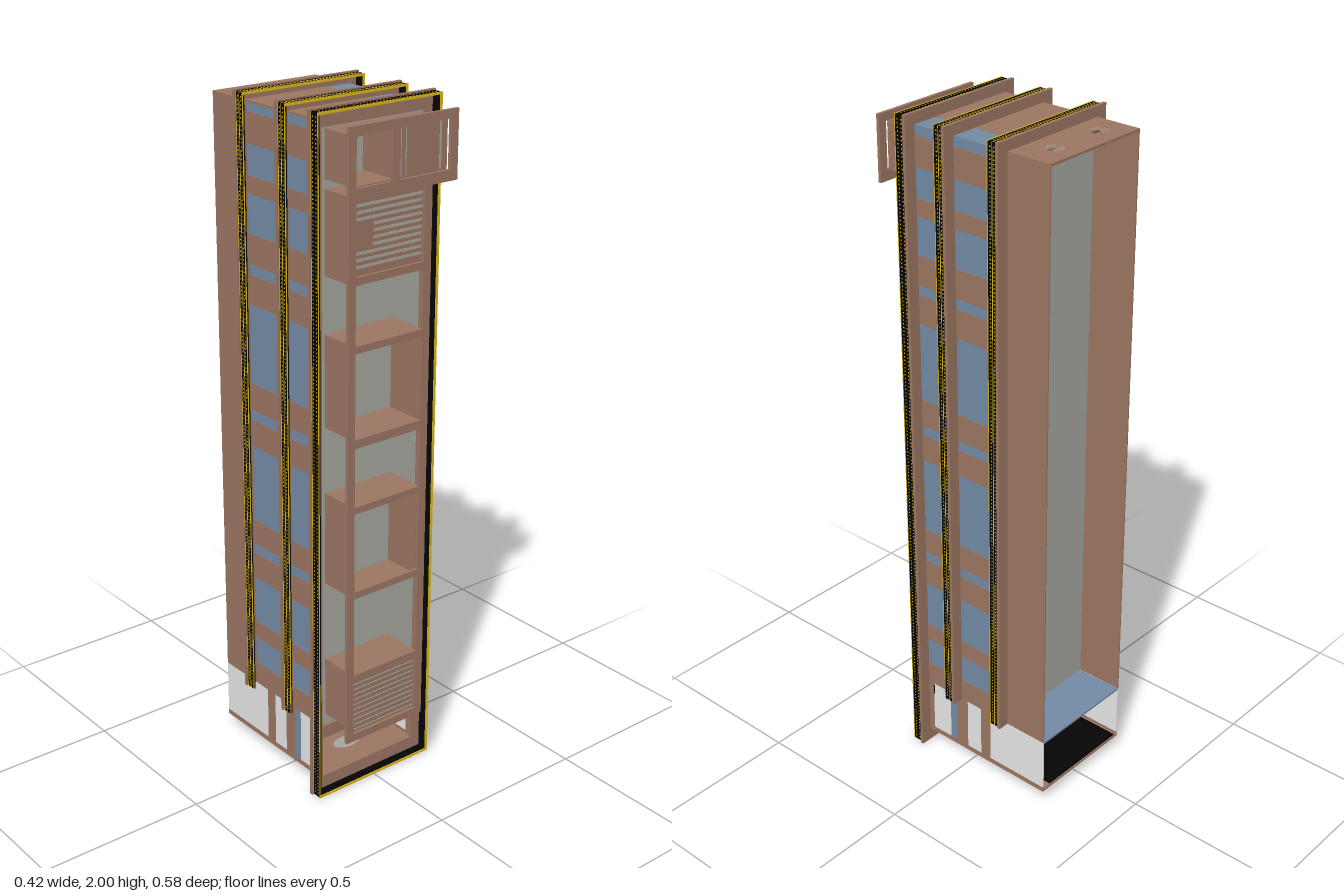
import * as THREE from 'three';
import { mergeGeometries } from 'three/addons/utils/BufferGeometryUtils.js';

const mat = (name, color) => {
  const m = new THREE.MeshStandardMaterial({ color });
  m.name = name;
  return m;
};

export function createModel() {
  const brown = mat('brown cladding', 0x9c7662);
  const glass = mat('grey glass', 0xa6a8a0);
  const blue = mat('blue panel', 0x738aa4);
  const pale = mat('pale grey wall', 0xe6e6e6);
  const black = mat('black strip', 0x050505);
  const yellow = mat('yellow lights', 0xe0b818);
  const root = new THREE.Group();

  // Box given by its limits on each axis
  const boxGeo = (x0, x1, y0, y1, z0, z1) =>
    new THREE.BoxGeometry(x1 - x0, y1 - y0, z1 - z0)
      .translate((x0 + x1) / 2, (y0 + y1) / 2, (z0 + z1) / 2);
  const add = (name, geo, m, parent = root) => {
    const mesh = new THREE.Mesh(geo, m);
    mesh.name = name;
    parent.add(mesh);
    return mesh;
  };
  const box = (name, m, ...b) => add(name, boxGeo(...b), m);
  const rect = (T, x0, x1, y0, y1) => {
    const s = new T();
    s.moveTo(x0, y0); s.lineTo(x1, y0); s.lineTo(x1, y1); s.lineTo(x0, y1); s.closePath();
    return s;
  };
  // Flat panel with rectangular openings
  const panel = (shape, holes, z0, z1) => {
    holes.forEach(h => shape.holes.push(rect(THREE.Path, ...h)));
    return new THREE.ExtrudeGeometry(shape, { depth: z1 - z0, bevelEnabled: false }).translate(0, 0, z0);
  };

  // Main block with brown bands on both sides and brown roof
  box('mainBlock', blue, -0.174, 0.174, 0.215, 1.969, -0.14, 0.162);
  const bands = [[0.22, 0.29], [0.375, 0.43], [0.575, 0.655], [0.685, 0.76], [0.99, 1.07],
    [1.1, 1.18], [1.41, 1.495], [1.525, 1.61], [1.72, 1.77], [1.855, 1.94]];
  for (const s of [-1, 1]) {
    const g = bands.map(([a, b]) => boxGeo(s * 0.173 - 0.002, s * 0.173 + 0.002, a, b, -0.14, 0.162));
    add('sideBands', mergeGeometries(g), brown);
  }
  box('roof', brown, -0.175, 0.095, 1.964, 1.97, -0.14, 0.162);
  box('frontGlass', glass, -0.171, 0.171, 0.217, 1.95, 0.159, 0.164);
  box('rearGlass', glass, -0.17, 0.17, 0.22, 1.962, -0.146, -0.139);

  // Open-backed rear shell
  for (const s of [-1, 1]) box('rearSide', brown, s * 0.173 - 0.002, s * 0.173 + 0.002, 0.22, 1.97, -0.29, -0.14);
  box('rearRoof', brown, -0.175, 0.175, 1.963, 1.97, -0.29, -0.14);
  box('rearDeck', blue, -0.174, 0.174, 0.213, 0.219, -0.289, -0.14);

  // Roof vents: round grids of flat specks
  for (const x of [-0.095, 0.08]) {
    const specks = [], core = [];
    for (let i = -5; i <= 5; i++) for (let j = -5; j <= 5; j++) {
      if (Math.hypot(i, j) > 5.1) continue;
      const px = x + i * 0.0048, pz = -0.224 + j * 0.0048;
      const dark = i > 0 && Math.abs(j) < 2;
      (dark ? core : specks).push(boxGeo(px - 0.001, px + 0.001, 1.97, 1.9704, pz - 0.001, pz + 0.001));
    }
    add('ventSpecks', mergeGeometries(specks), glass);
    add('ventCore', mergeGeometries(core), black);
  }

  // Ground storey: floor, side walls, floor mats and discs
  box('floor', brown, -0.175, 0.175, 0.04, 0.047, -0.29, 0.165);
  const walls = [[-0.29, -0.085, pale], [-0.085, -0.048, brown], [-0.048, 0.005, pale], [0.005, 0.048, brown],
    [0.048, 0.074, blue], [0.074, 0.143, pale], [0.143, 0.165, brown]];
  for (const s of [-1, 1]) {
    const x0 = s * 0.173 - 0.002, x1 = s * 0.173 + 0.002;
    for (const [a, b, m] of walls) box('groundWall', m, x0, x1, 0.056, 0.22, a, b);
    box('groundSill', brown, x0, x1, 0.045, 0.056, -0.29, 0.165);
  }
  box('floorMat', black, -0.165, 0.14, 0.047, 0.048, -0.287, 0);
  // Rounded mat outline on the underside
  const mat2 = new THREE.Shape();
  const mx = 0.135, m0 = 0.005, m1 = 0.235, r0 = 0.025;
  mat2.absarc(mx - r0, m1 - r0, r0, 0, Math.PI / 2);
  mat2.absarc(r0 - mx, m1 - r0, r0, Math.PI / 2, Math.PI);
  mat2.absarc(r0 - mx, m0 + r0, r0, Math.PI, Math.PI * 1.5);
  mat2.absarc(mx - r0, m0 + r0, r0, Math.PI * 1.5, Math.PI * 2);
  add('undersideMat', new THREE.ExtrudeGeometry(mat2, { depth: 0.001, bevelEnabled: false, curveSegments: 5 })
    .rotateX(-Math.PI / 2).translate(0, 0.0392, 0), black);
  for (const y of [0.0395, 0.0475])
    add('floorDisc', new THREE.CylinderGeometry(0.045, 0.045, 0.001, 24).scale(1, 1, 0.6).translate(0, y, 0.07), glass);
  box('entranceStrip', black, -0.1755, 0.1755, 0.182, 0.215, 0.139, 0.144);

  // Three projecting frames, each with a lit strip round its outer edge
  const frame = (z, y0) => {
    const full = y0 === 0;
    const g = new THREE.Group();
    g.name = full ? 'frontFrame' : 'middleFrame';
    root.add(g);
    const holes = full ? [[-0.17, 0.166, 0.048, 0.175], [-0.171, 0.171, 0.215, 1.95]] : [];
    let shape;
    if (full) shape = rect(THREE.Shape, -0.21, 0.21, 0, 2);
    else {
      shape = new THREE.Shape();
      [[-0.21, y0], [-0.172, y0], [-0.172, 1.965], [0.172, 1.965], [0.172, y0], [0.21, y0], [0.21, 2], [-0.21, 2]]
        .forEach(([x, y], i) => (i ? shape.lineTo(x, y) : shape.moveTo(x, y)));
    }
    add('frameSlab', panel(shape, holes, z, z + 0.01), brown, g);
    const yb = full ? 0.003 : y0;
    const side = (s, o, t, z0, z1) => boxGeo(s * (0.205 + o - t / 2) - t / 2, s * (0.205 + o - t / 2) + t / 2, yb, 1.996, z0, z1);
    const caps = (o, t, z0, z1) => {
      const parts = [boxGeo(-0.205 - o, 0.205 + o, 1.996 + o - t, 1.996 + o, z0, z1)];
      if (full) parts.push(boxGeo(-0.205 - o, 0.205 + o, yb - o, yb - o + t, z0, z1));
      return parts;
    };
    const strip = [side(-1, 0, 0.006, z + 0.01, z + 0.039), side(1, 0, 0.006, z + 0.01, z + 0.039)];
    add('lightStrip', mergeGeometries([...strip, ...caps(0, 0.006, z + 0.01, z + 0.039)]), black, g);
    // Yellow front rim on the top, right and bottom edges, thin lines on the sides
    const rim = [side(1, 0.001, 0.008, z + 0.039, z + 0.041), ...caps(0.001, 0.007, z + 0.038, z + 0.041)];
    rim.push(side(-1, 0.001, 0.002, z + 0.038, z + 0.041));
    for (const s of [-1, 1]) rim.push(side(s, 0.0006, 0.002, z + 0.01, z + 0.0125));
    if (!full) {
      for (const s of [-1, 1]) rim.push(side(s, 0.0006, 0.002, z + 0.023, z + 0.0255));
      rim.push(...caps(0.0006, 0.002, z + 0.023, z + 0.0255));
    }
    add('stripRim', mergeGeometries(rim), yellow, g);
    // Rows of small lamps
    const lamps = [], r = 0.0018;
    for (const dz of [0.018, 0.031]) {
      for (let x = -0.195; x < 0.2; x += 0.011) {
        lamps.push(boxGeo(x - r, x + r, 1.995, 1.9965, z + dz - r, z + dz + r));
        if (full) lamps.push(boxGeo(x - r, x + r, 0.0025, 0.004, z + dz - r, z + dz + r));
      }
      for (let y = y0 + 0.015; y < 1.99; y += 0.011) for (const s of [-1, 1])
        lamps.push(boxGeo(s * 0.205 - 0.0006, s * 0.205 + 0.0006, y - r, y + r, z + dz - r, z + dz + r));
    }
    add('lamps', mergeGeometries(lamps), yellow, g);
  };
  frame(0.162, 0);
  frame(0.027, 0.22);
  frame(-0.153, 0.22);

  // Front lattice screen
  const outline = new THREE.Shape();
  [[-0.177, 0.217], [0.1, 0.217], [0.1, 1.785], [0.185, 1.785], [0.185, 1.972], [-0.177, 1.972]]
    .forEach(([x, y], i) => (i ? outline.lineTo(x, y) : outline.moveTo(x, y)));
  const openings = [[0.24, 0.405], [0.43, 0.67], [0.69, 0.925], [0.945, 1.115], [1.14, 1.38], [1.4, 1.565], [1.585, 1.78]]
    .map(([a, b]) => [-0.153, 0.075, a, b]);
  openings.push([-0.153, -0.035, 1.815, 1.948], [-0.01, 0.16, 1.815, 1.948]);
  add('latticeScreen', panel(outline, openings, 0.279, 0.289), brown);

  // Bay boxes joining the screen to the wall
  const bay = (x1, y0, y1) => add('bayBox',
    panel(rect(THREE.Shape, -0.155, x1, y0, y1), [[-0.152, x1 - 0.003, y0 + 0.003, y1 - 0.003]], 0.164, 0.28), brown);
  [[0.25, 0.43], [0.67, 0.945], [1.137, 1.4], [1.56, 1.79]].forEach(([a, b]) => bay(0.077, a, b));
  bay(0.155, 1.815, 1.945);
  box('bayDivider', brown, -0.03, -0.018, 1.82, 1.94, 0.164, 0.28);

  // Infill panels with flat grey louvre stripes
  box('upperInfill', brown, -0.155, 0.075, 1.585, 1.78, 0.27, 0.28);
  box('lowerInfill', brown, -0.155, 0.075, 0.24, 0.405, 0.27, 0.28);
  box('cornerInfill', brown, -0.01, 0.153, 1.815, 1.948, 0.27, 0.28);
  const stripes = [];
  for (let i = 0; i < 10; i++) {
    const y = 1.604 + i * 0.0178, x = i > 2 && i < 7 ? -0.09 : -0.153;
    stripes.push(boxGeo(x, 0.073, y, y + 0.008, 0.28, 0.2806));
    const v = 0.247 + i * 0.0162;
    stripes.push(boxGeo(-0.153, 0.073, v, v + 0.004, 0.28, 0.2806));
  }
  for (const [a, b] of [[-0.008, 0], [0.014, 0.017], [0.128, 0.135]])
    stripes.push(boxGeo(a, b, 1.82, 1.945, 0.28, 0.2806));
  add('louvreStripes', mergeGeometries(stripes), glass);
  return root;
}
